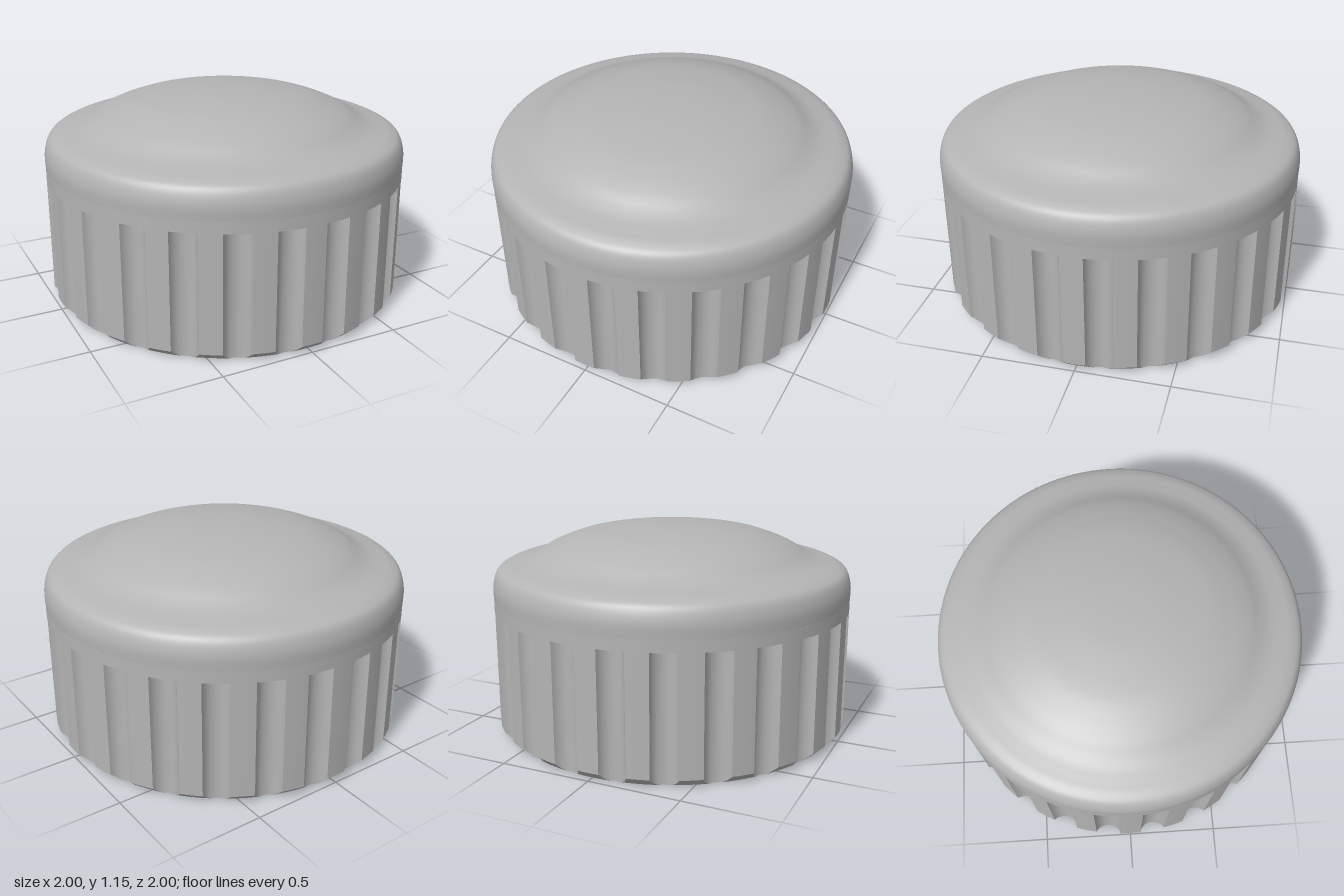
import * as THREE from 'three';
import { toCreasedNormals } from 'three/addons/utils/BufferGeometryUtils.js';

const GROOVES = 24;
const GROOVE_TOP = 0.69;
const CUT_CENTRE = 1.02; // distance of each round cutter from the axis
const CUT_RADIUS = 0.075;
const FOOT_RADIUS = 0.953;
const CHAMFER = 0.045;

// Outline of the fluted wall as [angle, radius] pairs
function flutedOutline() {
  const half = Math.acos((CUT_CENTRE ** 2 + CUT_RADIUS ** 2 - 1) / (2 * CUT_CENTRE * CUT_RADIUS));
  const pitch = (Math.PI * 2) / GROOVES;
  const steps = 14;
  const outline = [];
  for (let g = 0; g < GROOVES; g++) {
    const middle = (g + 0.5) * pitch;
    let edge = 0;
    for (let i = 0; i <= steps; i++) {
      const a = half * ((2 * i) / steps - 1);
      const out = CUT_CENTRE - CUT_RADIUS * Math.cos(a);
      const side = CUT_RADIUS * Math.sin(a);
      edge = Math.atan2(side, out);
      outline.push([middle + edge, Math.hypot(out, side)]);
    }
    // land between two grooves
    const land = pitch - 2 * edge;
    for (let i = 1; i < 4; i++) outline.push([middle + edge + (land * i) / 4, 1]);
  }
  return outline;
}

// Grip wall: underside, chamfer, grooves and groove ends, swept column by column
function gripGeometry() {
  const columns = flutedOutline().map(([angle, r]) => {
    const kink = Math.max(0.0005, ((r - FOOT_RADIUS) / (1 - FOOT_RADIUS)) * CHAMFER);
    const section = [
      [0.6, 0], [Math.min(r, FOOT_RADIUS), 0], [r, kink],
      [r, GROOVE_TOP], [1, GROOVE_TOP], [1, 0.75],
    ];
    return section.map(([d, y]) => new THREE.Vector3(d * Math.sin(angle), y, d * Math.cos(angle)));
  });
  const positions = [];
  const addFace = (a, b, c) => {
    if (new THREE.Triangle(a, b, c).getArea() < 1e-9) return;
    for (const p of [a, b, c]) positions.push(p.x, p.y, p.z);
  };
  columns.forEach((column, i) => {
    const next = columns[(i + 1) % columns.length];
    for (let j = 0; j < column.length - 1; j++) {
      addFace(column[j], next[j], next[j + 1]);
      addFace(column[j], next[j + 1], column[j + 1]);
    }
  });
  const geometry = new THREE.BufferGeometry();
  geometry.setAttribute('position', new THREE.Float32BufferAttribute(positions, 3));
  return toCreasedNormals(geometry, 0.5);
}

const points = (pairs) => pairs.map(([x, y]) => new THREE.Vector2(x, y));

export function createModel() {
  const model = new THREE.Group();
  model.name = 'flutedCap';
  const grey = new THREE.MeshStandardMaterial({ color: 0xb4b4b4 });
  grey.name = 'grey';

  const add = (name, geometry) => {
    const mesh = new THREE.Mesh(geometry, grey);
    mesh.name = name;
    model.add(mesh);
  };

  add('flutedGrip', gripGeometry());

  // Rounded shoulder flowing into the raised dome
  const crown = new THREE.SplineCurve(points([
    [1, 0.75], [1, 0.83], [0.977, 0.9], [0.93, 0.931], [0.87, 0.947], [0.81, 0.963],
    [0.755, 0.988], [0.685, 1.029], [0.59, 1.069], [0.46, 1.107], [0.25, 1.138],
    [0.1, 1.147], [0, 1.148],
  ]));
  add('domedTop', new THREE.LatheGeometry(crown.getPoints(72), 144));

  // Stepped blind hole in the underside
  const bore = points([[0, 0.7], [0.44, 0.7], [0.44, 0.29], [0.6, 0.29], [0.6, 0]]);
  add('steppedBore', toCreasedNormals(new THREE.LatheGeometry(bore, 144), 0.5));

  return model;
}
